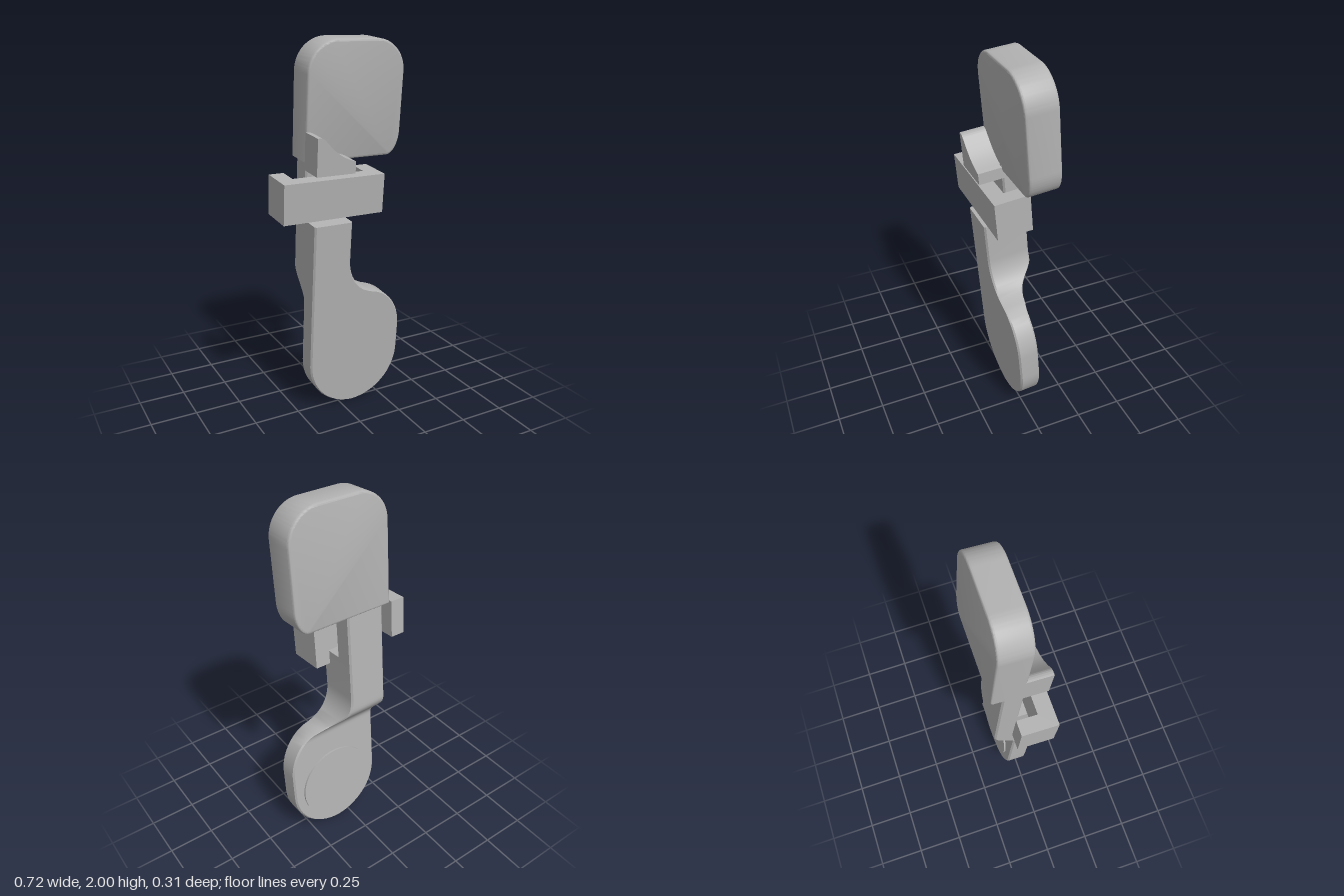
import * as THREE from 'three';
import { toCreasedNormals } from 'three/addons/utils/BufferGeometryUtils.js';

const grey = new THREE.MeshStandardMaterial({ color: 0xb2b2b2 });
grey.name = 'plain grey';

const LEFT = -0.19, STEM = 0.025, RIGHT = 0.355;
const FRONT = 0.02, NOTCH = -0.105, PADDLE_BACK = -0.092, STEM_BACK = -0.215;

// Depth of the back: thin paddle easing out into the thick stem
const backAt = (y) => THREE.MathUtils.lerp(PADDLE_BACK, STEM_BACK, THREE.MathUtils.smoothstep(y, 0.63, 0.8));

// Paddle and stem, lofted upwards from chamfered rectangular sections
function bodyGeometry() {
  const rows = []; // y, left x, right x, front z
  const add = (y, x0, x1, front = FRONT) => rows.push([y, x0, x1, front]);
  const N = 14, mid = (LEFT + RIGHT) / 2, r = (RIGHT - LEFT) / 2;
  for (let i = 0; i <= N; i++) { // round bottom
    const a = (i / N) * Math.PI / 2;
    add(0.277 - r * Math.cos(a), mid - r * Math.sin(a), mid + r * Math.sin(a));
  }
  for (let i = 0; i <= N; i++) { // convex shoulder
    const a = (i / N) * 1.44;
    add(0.42 + 0.25 * Math.sin(a), LEFT, 0.145 + 0.21 * Math.cos(a));
  }
  for (let i = 1; i <= N; i++) { // concave neck
    const a = 1.39 * (1 - i / N);
    add(0.868 - 0.2 * Math.sin(a), LEFT, 0.2 - 0.175 * Math.cos(a));
  }
  add(1.087, LEFT, STEM); // step back into the notch
  add(1.087, LEFT, STEM, NOTCH);
  add(1.42, LEFT, STEM, NOTCH);

  const pos = [], index = [];
  rows.forEach(([y, x0, x1, f], i) => {
    const c = Math.min(0.009, (x1 - x0) / 4), k = backAt(y);
    const ring = [[x0 + c, f], [x1 - c, f], [x1, f - c], [x1, k + c], [x1 - c, k], [x0 + c, k], [x0, k + c], [x0, f - c]];
    ring.forEach(([x, z], j) => {
      pos.push(x, y, z);
      if (i === rows.length - 1) return;
      const a = i * 8 + j, b = i * 8 + (j + 1) % 8;
      index.push(a, b, b + 8, a, b + 8, a + 8);
    });
  });
  const g = new THREE.BufferGeometry();
  g.setAttribute('position', new THREE.Float32BufferAttribute(pos, 3));
  g.setIndex(index);
  return toCreasedNormals(g, 0.6);
}

// Extrude a shape between two depths, with an optional inset bevel
function slab(shape, back, front, bevel = 0) {
  const g = new THREE.ExtrudeGeometry(shape, {
    depth: front - back - 2 * bevel, curveSegments: 16,
    bevelEnabled: bevel > 0, bevelSize: bevel, bevelOffset: -bevel, bevelThickness: bevel, bevelSegments: 3,
  });
  g.translate(0, 0, back + bevel);
  return toCreasedNormals(g, 0.6);
}

// Head block: large top corners, one softer bottom corner, one square
function headShape() {
  const s = new THREE.Shape(), b = 1.386, t = 1.984, R = 0.165, H = Math.PI / 2;
  s.moveTo(LEFT, b);
  s.lineTo(RIGHT - 0.075, b);
  s.absellipse(RIGHT - 0.075, b + 0.13, 0.075, 0.13, -H, 0, false);
  s.absellipse(RIGHT - R, t - R, R, R, 0, H, false);
  s.absellipse(LEFT + R, t - R, R, R, H, 2 * H, false);
  s.closePath();
  return s;
}

// Thumb hook with a scooped upper edge
function hookShape() {
  const s = new THREE.Shape();
  s.moveTo(LEFT, 1.348);
  s.lineTo(STEM, 1.348);
  s.lineTo(STEM, 1.41);
  s.bezierCurveTo(-0.06, 1.432, -0.1, 1.475, -0.15, 1.53);
  s.quadraticCurveTo(-0.165, 1.545, LEFT, 1.54);
  s.closePath();
  return s;
}

// C-shaped bracket in plan, extruded upwards
function bracketGeometry() {
  const plan = [[-0.36, FRONT - 0.005], [0.2, FRONT - 0.005], [0.2, -0.175], [0.12, -0.175],
    [0.12, -0.067], [-0.28, -0.067], [-0.28, -0.175], [-0.36, -0.175]];
  const s = new THREE.Shape(plan.map(([x, z]) => new THREE.Vector2(x, -z)));
  const g = new THREE.ExtrudeGeometry(s, { depth: 0.208, bevelEnabled: false });
  g.rotateX(-Math.PI / 2);
  g.translate(0, 1.119, 0);
  return g;
}

export function createModel() {
  const model = new THREE.Group();
  model.name = 'latchHandle';
  const part = (name, geometry) => {
    const m = new THREE.Mesh(geometry, grey);
    m.name = name;
    model.add(m);
    return m;
  };
  part('paddleAndStem', bodyGeometry());
  part('head', slab(headShape(), -0.275, -0.107, 0.012));
  part('hook', slab(hookShape(), -0.12, FRONT));
  part('bracket', bracketGeometry());

  // Raised round pad on the back of the paddle
  const pad = part('backPad', new THREE.CylinderGeometry(0.215, 0.215, 0.02, 64));
  pad.rotation.x = Math.PI / 2;
  pad.position.set(0.083, 0.28, -0.092);

  // The whole handle leans forward
  model.rotation.x = THREE.MathUtils.degToRad(5);
  const root = new THREE.Group();
  root.add(model);
  return root;
}
